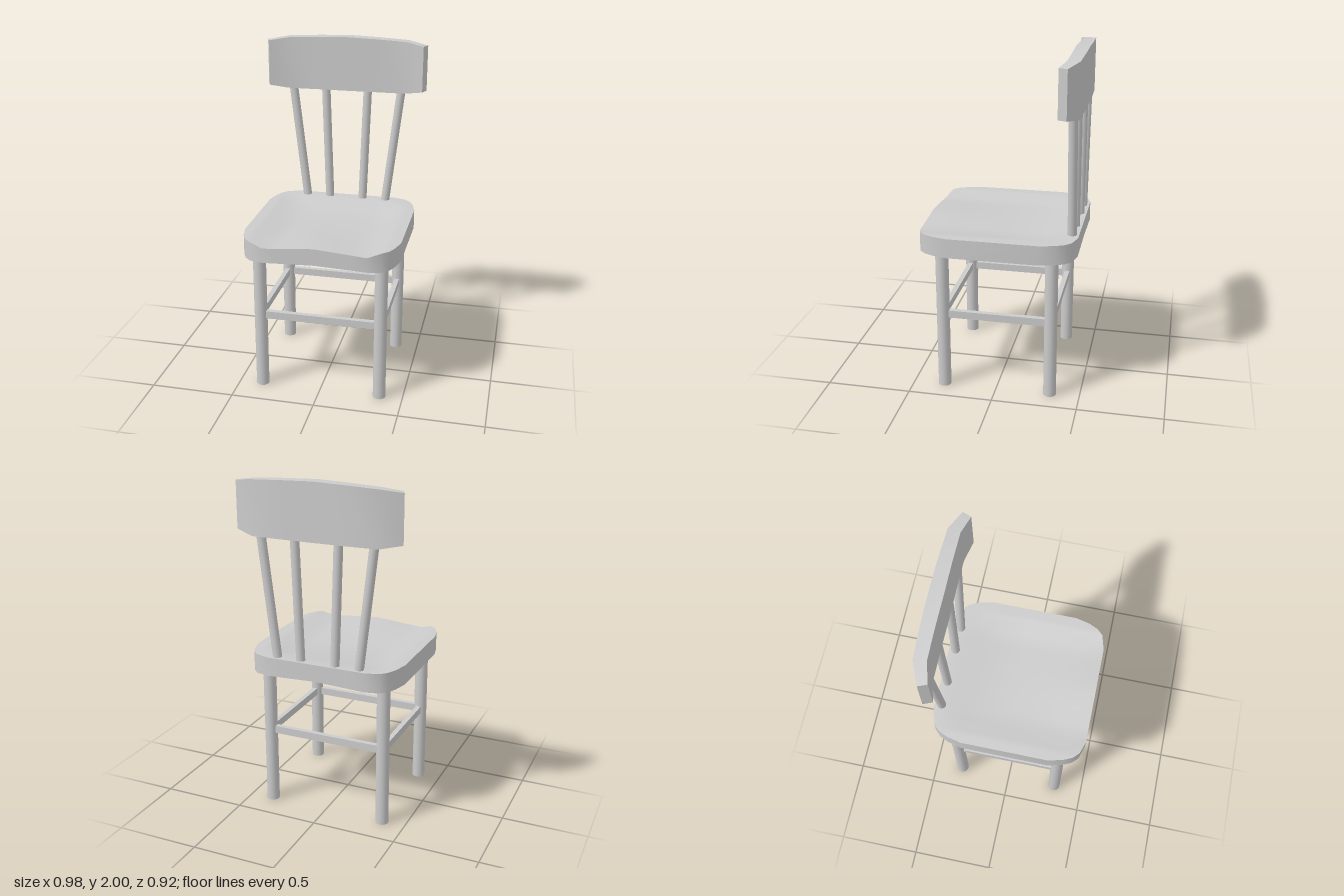
import * as THREE from 'three';
import { toCreasedNormals } from 'three/addons/utils/BufferGeometryUtils.js';

const material = new THREE.MeshStandardMaterial({ color: 0xcccccc });
const { clamp, smoothstep } = THREE.MathUtils;

// Skins a row of closed rings ordered along +x and caps both ends.
function loft(rings) {
  const pos = [];
  const tri = (a, b, c) => {
    const area = b.clone().sub(a).cross(c.clone().sub(a)).length();
    if (area > 1e-7) for (const p of [a, b, c]) pos.push(p.x, p.y, p.z);
  };
  const n = rings[0].length;
  for (let i = 0; i < rings.length - 1; i++) {
    for (let j = 0; j < n; j++) {
      const k = (j + 1) % n, r = rings[i], s = rings[i + 1];
      tri(r[j], r[k], s[k]);
      tri(r[j], s[k], s[j]);
    }
  }
  const first = rings[0], last = rings[rings.length - 1];
  for (let j = 1; j < n - 1; j++) {
    tri(first[0], first[j + 1], first[j]);
    tri(last[0], last[j], last[j + 1]);
  }
  const geometry = new THREE.BufferGeometry();
  geometry.setAttribute('position', new THREE.Float32BufferAttribute(pos, 3));
  return toCreasedNormals(geometry, 0.6);
}

// Half sections listed from the centre out become a full left-right symmetric row.
const mirrored = (half) => [
  ...half.slice(1).reverse().map((p) => [-1, p]),
  ...half.map((p) => [1, p]),
];

// Rounded seat with a shallow dish open to the front and a raised front centre.
function seatGeometry() {
  const outline = [[0, 0.46], [0.1, 0.46], [0.2, 0.46], [0.3, 0.46], [0.38, 0.435],
    [0.415, 0.4], [0.44, 0.345], [0.46, 0.26]];
  const rows = [-0.46, -0.365, -0.28, 0, 0.15, 0.26, 0.36, 0.46];
  const top = (x, z) => {
    const side = clamp((0.38 - x) / 0.08, 0, 1);
    const back = clamp((z + 0.365) / 0.085, 0, 1);
    const pommel = smoothstep(z, 0.05, 0.46) * clamp(1 - x / 0.3, 0, 1);
    return 0.98 - 0.025 * side * back * (1 - pommel);
  };
  return loft(mirrored(outline).map(([s, [x, reach]]) => {
    const zs = rows.map((z) => clamp(z, -reach, reach));
    const under = 0.865 + 0.015 * Math.max(0, 1 - x / 0.38);
    return [
      ...zs.map((z) => new THREE.Vector3(s * x, top(x, z), z)),
      ...zs.reverse().map((z) => new THREE.Vector3(s * x, under, z)),
    ];
  }));
}

// Curved top rail: [front x, front z, back x, back z, bottom y, top y].
function railGeometry() {
  const sections = [
    [0, -0.384, 0, -0.463, 1.675, 2],
    [0.18, -0.386, 0.18, -0.462, 1.675, 1.994],
    [0.36, -0.385, 0.37, -0.455, 1.675, 1.985],
    [0.47, -0.355, 0.49, -0.405, 1.695, 1.967],
  ];
  return loft(mirrored(sections).map(([s, [fx, fz, bx, bz, y0, y1]]) => [
    new THREE.Vector3(s * bx, y1, bz),
    new THREE.Vector3(s * fx, y1, fz),
    new THREE.Vector3(s * fx, y0, fz),
    new THREE.Vector3(s * bx, y0, bz),
  ]));
}

export function createModel() {
  const chair = new THREE.Group();
  chair.name = 'chair';
  const add = (name, geometry) => {
    const mesh = new THREE.Mesh(geometry, material);
    mesh.name = name;
    chair.add(mesh);
    return mesh;
  };
  // Round bar between two points.
  const rod = (name, a, b, radius) => {
    const from = new THREE.Vector3(...a), dir = new THREE.Vector3(...b).sub(from);
    const mesh = add(name, new THREE.CylinderGeometry(radius, radius, dir.length(), 20));
    mesh.position.copy(from).addScaledVector(dir, 0.5);
    mesh.quaternion.setFromUnitVectors(new THREE.Vector3(0, 1, 0), dir.normalize());
  };

  add('seat', seatGeometry());
  add('topRail', railGeometry());

  const frontZ = 0.315, backZ = -0.323, legX = 0.36;
  for (const [side, s] of [['left', 1], ['right', -1]]) {
    // Legs
    rod(side + 'FrontLeg', [s * legX, 0, frontZ], [s * legX, 0.875, frontZ], 0.038);
    rod(side + 'BackLeg', [s * legX, 0, backZ], [s * legX, 0.875, backZ], 0.038);
    // Splayed back spindles
    rod(side + 'OuterSpindle', [s * 0.25, 0.96, -0.42], [s * 0.336, 1.69, -0.42], 0.026);
    rod(side + 'InnerSpindle', [s * 0.105, 0.96, -0.42], [s * 0.13, 1.69, -0.42], 0.026);
    // Side stretchers
    add(side + 'Stretcher', new THREE.BoxGeometry(0.03, 0.045, frontZ - backZ - 0.06))
      .position.set(s * legX, 0.472, (frontZ + backZ) / 2);
  }
  // Front and back stretchers
  for (const [name, z] of [['frontStretcher', frontZ], ['backStretcher', backZ]]) {
    add(name, new THREE.BoxGeometry(2 * legX - 0.06, 0.045, 0.03)).position.set(0, 0.472, z);
  }
  return chair;
}
